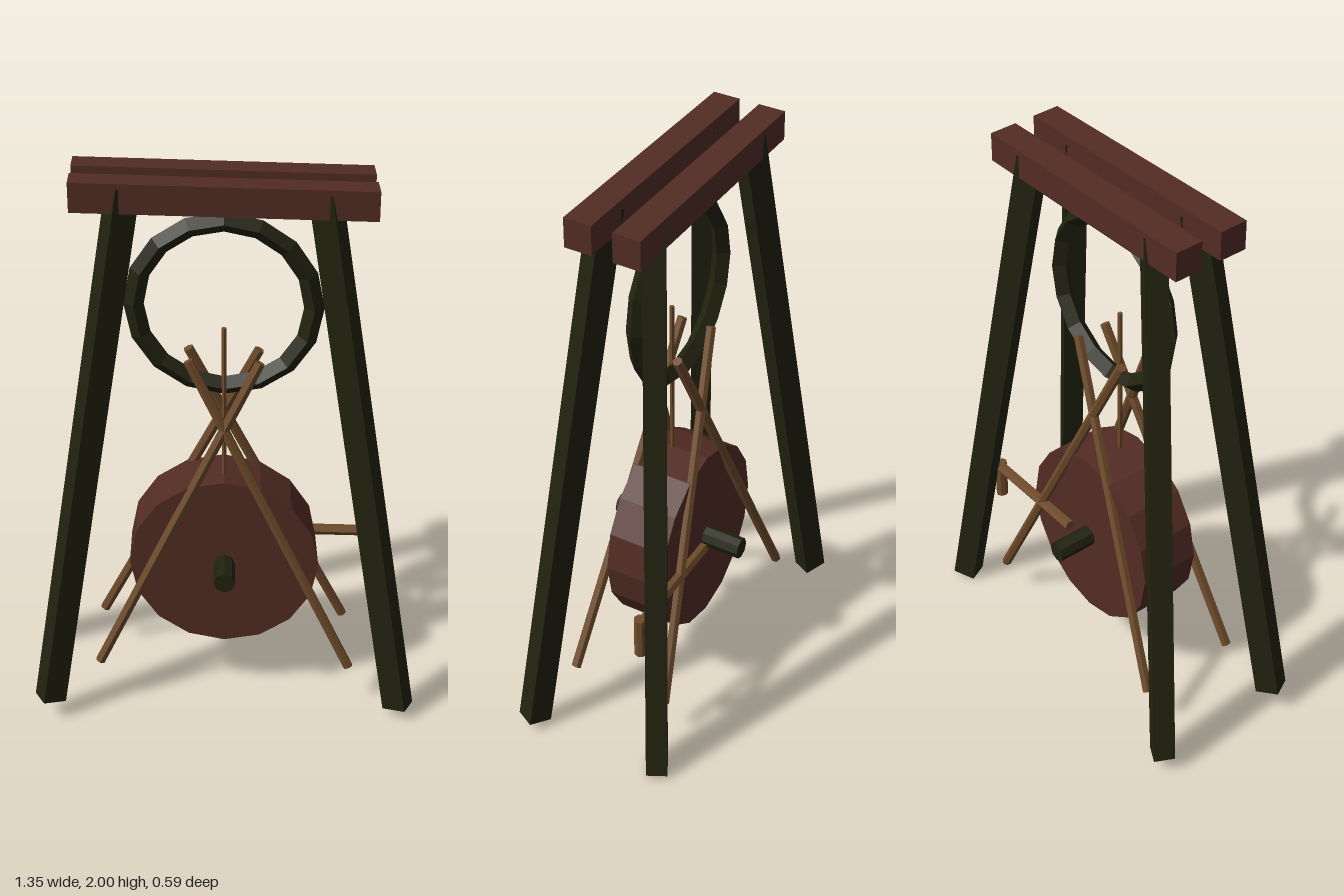
import * as THREE from 'three';

// The whole stand leans slightly: height varies linearly with x and z
const LEAN = new THREE.Matrix4().set(
  1, 0, 0, 0,
  -0.035, 1, 0.06, 0,
  0, 0, 1, 0,
  0, 0, 0, 1);

export function createModel() {
  const group = new THREE.Group();
  const makeMaterial = (name, color) => {
    const m = new THREE.MeshStandardMaterial({ color });
    m.name = name;
    return m;
  };
  const redWood = makeMaterial('redWood', 0x522c24);
  const darkWood = makeMaterial('darkWood', 0x21220f);
  const paleWood = makeMaterial('paleWood', 0x6e4b2b);

  // Adds a leaning, faceted part
  const add = (name, geometry, material) => {
    geometry.applyMatrix4(LEAN);
    const faceted = geometry.toNonIndexed();
    faceted.computeVertexNormals();
    const mesh = new THREE.Mesh(faceted, material);
    mesh.name = name;
    group.add(mesh);
  };

  // Round pole between two points
  const pole = (a, b, radius, sides) => {
    const from = new THREE.Vector3(...a), to = new THREE.Vector3(...b);
    const dir = to.clone().sub(from);
    const turn = new THREE.Quaternion().setFromUnitVectors(
      new THREE.Vector3(0, 1, 0), dir.clone().normalize());
    const mid = from.add(to).multiplyScalar(0.5);
    return new THREE.CylinderGeometry(radius, radius, dir.length(), sides)
      .applyQuaternion(turn).translate(mid.x, mid.y, mid.z);
  };

  // Square leg splayed outwards, turned to face its own lean
  const leg = (sx, sz) => {
    const foot = new THREE.Vector3(sx * 0.62, 0.046, sz * 0.245);
    const head = new THREE.Vector3(sx * 0.317, 1.95, sz * 0.083);
    const up = head.clone().sub(foot);
    const length = up.length();
    up.normalize();
    const side = new THREE.Vector3(-sz * 0.47, 0, sx * 0.88).normalize();
    side.addScaledVector(up, -side.dot(up)).normalize();
    const out = new THREE.Vector3().crossVectors(up, side);
    const basis = new THREE.Matrix4().makeBasis(out, up, side);
    basis.setPosition(foot.add(head).multiplyScalar(0.5));
    return new THREE.BoxGeometry(0.085, length, 0.074).applyMatrix4(basis);
  };

  for (const sz of [1, -1]) {
    const end = sz > 0 ? 'front' : 'back';
    // Top beam
    add(end + 'Beam',
      new THREE.BoxGeometry(0.975, 0.1, 0.096).translate(0, 1.925, sz * 0.084), redWood);
    for (const sx of [1, -1]) {
      const hand = sx > 0 ? 'Left' : 'Right';
      add(end + hand + 'Leg', leg(sx, sz), darkWood);
      // Crossed sticks in front of and behind the drum
      add(end + hand + 'Stick',
        pole([sx * 0.443, 0.167, sz * 0.178], [-sx * 0.12, 1.328, sz * 0.055], 0.018, 6), paleWood);
    }
  }

  // Hanging ring
  add('ring', new THREE.TorusGeometry(0.298, 0.034, 4, 16).translate(0, 1.513, 0), darkWood);

  // Drum and its axle
  add('drum', pole([0, 0.555, -0.107], [0, 0.555, 0.107], 0.33, 16), redWood);
  add('axle', pole([0, 0.555, -0.246], [0, 0.555, 0.243], 0.037, 8), darkWood);

  // Upright rod from drum to ring
  add('rod', pole([0, 0.6, 0.03], [0, 1.443, 0.03], 0.009, 6), paleWood);

  // Crank arm with its hanging grip
  add('crankArm', pole([0.075, 0.565, -0.135], [0.53, 0.565, -0.135], 0.02, 6), paleWood);
  add('crankGrip', pole([0.523, 0.435, -0.132], [0.523, 0.582, -0.132], 0.022, 8), paleWood);

  return group;
}
